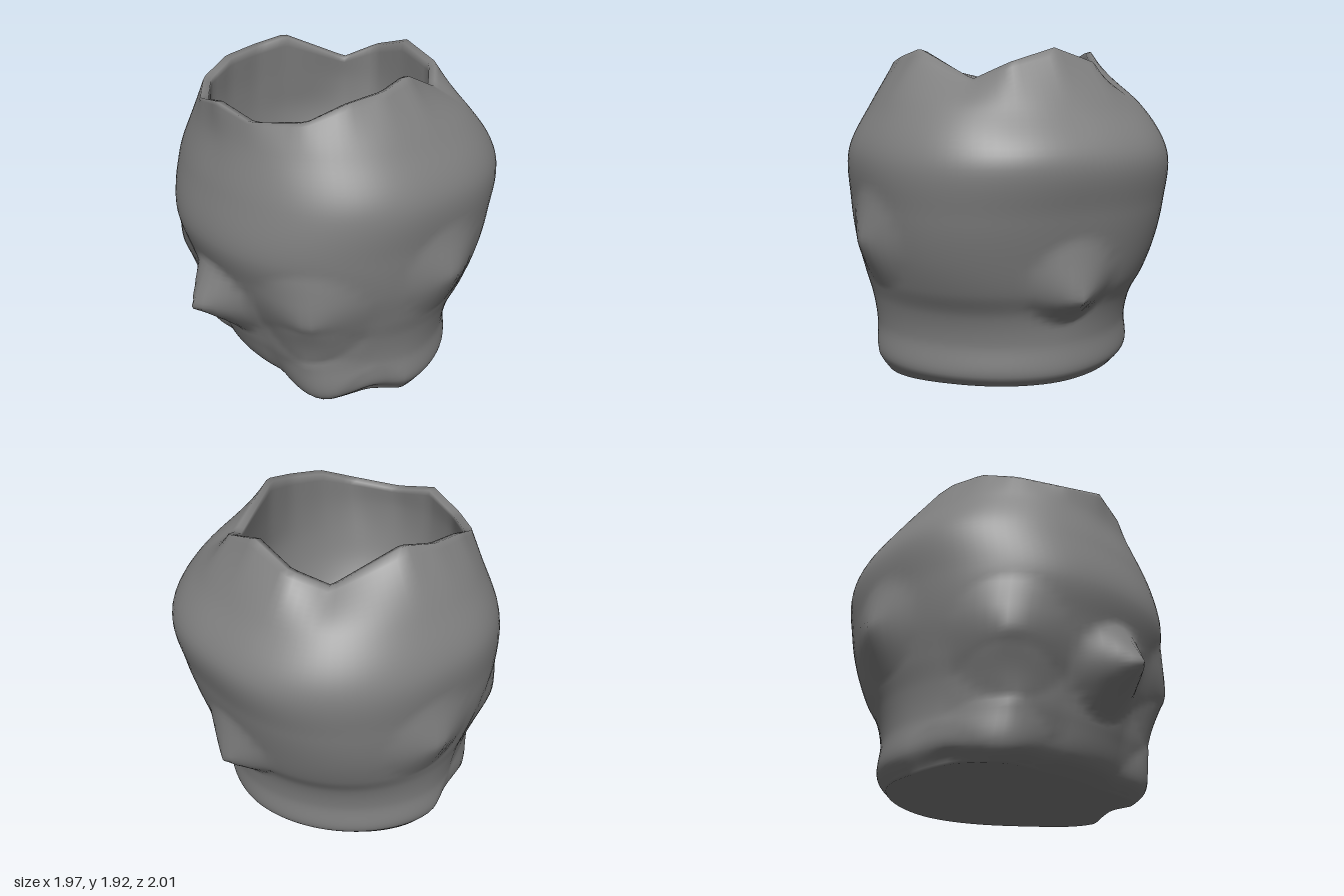
import * as THREE from 'three';

const COLS = 96, ROWS = 72;

// Body cross-sections: height, half width, front depth, back depth, front and back squareness
const rings = [
  [0.03, 0.76, 0.48, 0.72, 2.0, 1.85],
  [0.10, 0.82, 0.60, 0.77, 2.0, 1.85],
  [0.28, 0.81, 0.68, 0.765, 1.95, 1.85],
  [0.45, 0.83, 0.73, 0.79, 2.0, 1.95],
  [0.60, 0.87, 0.79, 0.85, 2.0, 2.15],
  [0.80, 0.91, 0.85, 0.90, 2.15, 2.35],
  [1.03, 0.93, 0.91, 0.95, 2.2, 2.45],
  [1.33, 0.94, 0.85, 1.00, 2.2, 2.35],
  [1.60, 0.80, 0.77, 0.83, 2.2, 2.3],
];

// Half of the wavy rim, from front to back: x, y, z
const rim = [
  [0, 1.80, 0.76], [0.26, 1.74, 0.71], [0.51, 1.77, 0.54], [0.59, 1.85, 0.33],
  [0.62, 1.88, 0.10], [0.58, 1.92, -0.10], [0.42, 1.75, -0.47],
  [0.27, 1.84, -0.62], [0, 1.92, -0.63],
];

// Cavity inside the rim: height, scale of the opening
const bowl = [
  [1.6, 0.97], [1.4, 0.96], [1.2, 0.89], [1.03, 0.76], [0.91, 0.56], [0.85, 0.3], [0.83, 0],
];

// Pulled-out features: centre, pull vector, radius
const bumps = [
  [[0, 0.59, 0.79], [0, -0.01, 0.22], 0.28],      // nose
  [[0, 0.64, -0.86], [0, -0.08, -0.11], 0.27],    // tail
];
for (const s of [-1, 1]) {
  bumps.push([[s * 0.91, 0.85, -0.15], [s * 0.08, -0.01, 0], 0.30]);      // ears
  bumps.push([[s * 0.60, 0.66, 0.58], [s * 0.08, -0.01, 0.08], 0.34]);    // cheeks
  bumps.push([[s * 0.53, 0.32, 0.50], [s * 0.04, 0, 0.08], 0.32]);        // jaw corners
  bumps.push([[s * 0.52, 0.04, 0.35], [s * 0.04, -0.02, 0.13], 0.34]);    // front feet
  bumps.push([[s * 0.72, 0.05, 0.20], [s * -0.04, 0.03, -0.02], 0.20]);   // gap behind the feet
}

function ringPoint([y, w, front, back, nFront, nBack], angle) {
  const s = Math.sin(angle), c = Math.cos(angle);
  const n = c > 0 ? nFront : nBack;
  const k = Math.pow(Math.pow(Math.abs(s), n) + Math.pow(Math.abs(c), n), -1 / n);
  const drop = y < 0.05 ? 0.03 * Math.pow(Math.abs(s), 8) : 0;
  return new THREE.Vector3(w * s * k, y - drop, (c > 0 ? front : back) * c * k);
}

function rimPoint(angle) {
  const a = angle > Math.PI ? 2 * Math.PI - angle : angle;
  const side = angle > Math.PI ? -1 : 1;
  const at = p => Math.atan2(p[0], p[2]);
  let i = 0;
  while (i < rim.length - 2 && a > at(rim[i + 1])) i++;
  const t = (a - at(rim[i])) / (at(rim[i + 1]) - at(rim[i]));
  const p = new THREE.Vector3(...rim[i]).lerp(new THREE.Vector3(...rim[i + 1]), t);
  p.x *= side;
  return p;
}

function pullBumps(p) {
  const start = p.clone();
  for (const [centre, pull, radius] of bumps) {
    const d = start.distanceTo(new THREE.Vector3(...centre)) / radius;
    if (d < 1) p.addScaledVector(new THREE.Vector3(...pull), Math.pow(1 - d, 1.1));
  }
  return p;
}

// One vertical strip: underside, outer wall, rim, bowl
function column(angle) {
  const lip = rimPoint(angle);
  const outer = new THREE.CatmullRomCurve3([...rings.map(r => ringPoint(r, angle)), lip]);
  const wall = outer.getPoints(ROWS).map(pullBumps);
  const base = wall[0];
  const under = [0, 0.5, 0.95].map(k =>
    new THREE.Vector3(base.x * k, THREE.MathUtils.lerp(0.045, base.y, k), base.z * k));

  // The opening's outline rounds off towards the bottom of the bowl
  const round = ringPoint([0, 0.62, 0.74, 0.62, 2, 2], angle);
  const inner = new THREE.CatmullRomCurve3([
    new THREE.Vector3(lip.x * 0.94, lip.y - 0.01, lip.z * 0.94),
    ...bowl.map(([y, k]) => {
      const p = lip.clone().lerp(round, Math.min(1, (1.75 - y) / 0.4)).multiplyScalar(k);
      p.y = y;
      return p;
    }),
  ]);
  return [...under, ...wall, ...inner.getPoints(36)];
}

function loft(columns) {
  const n = columns[0].length, m = columns.length;
  const positions = [], index = [];
  for (const col of columns) for (const p of col) positions.push(p.x, p.y, p.z);
  for (let j = 0; j < m; j++) {
    const a = j * n, b = ((j + 1) % m) * n;
    for (let i = 0; i < n - 1; i++) {
      index.push(a + i, b + i, b + i + 1, a + i, b + i + 1, a + i + 1);
    }
  }
  const g = new THREE.BufferGeometry();
  g.setAttribute('position', new THREE.Float32BufferAttribute(positions, 3));
  g.setIndex(index);
  g.computeVertexNormals();
  return g;
}

export function createModel() {
  const group = new THREE.Group();
  group.name = 'creaturePot';
  const columns = Array.from({ length: COLS }, (_, j) => column(j / COLS * Math.PI * 2));
  const material = new THREE.MeshStandardMaterial({ color: 0x7f7f7f });
  const pot = new THREE.Mesh(loft(columns), material);
  pot.name = 'hollowBody';
  group.add(pot);
  return group;
}
